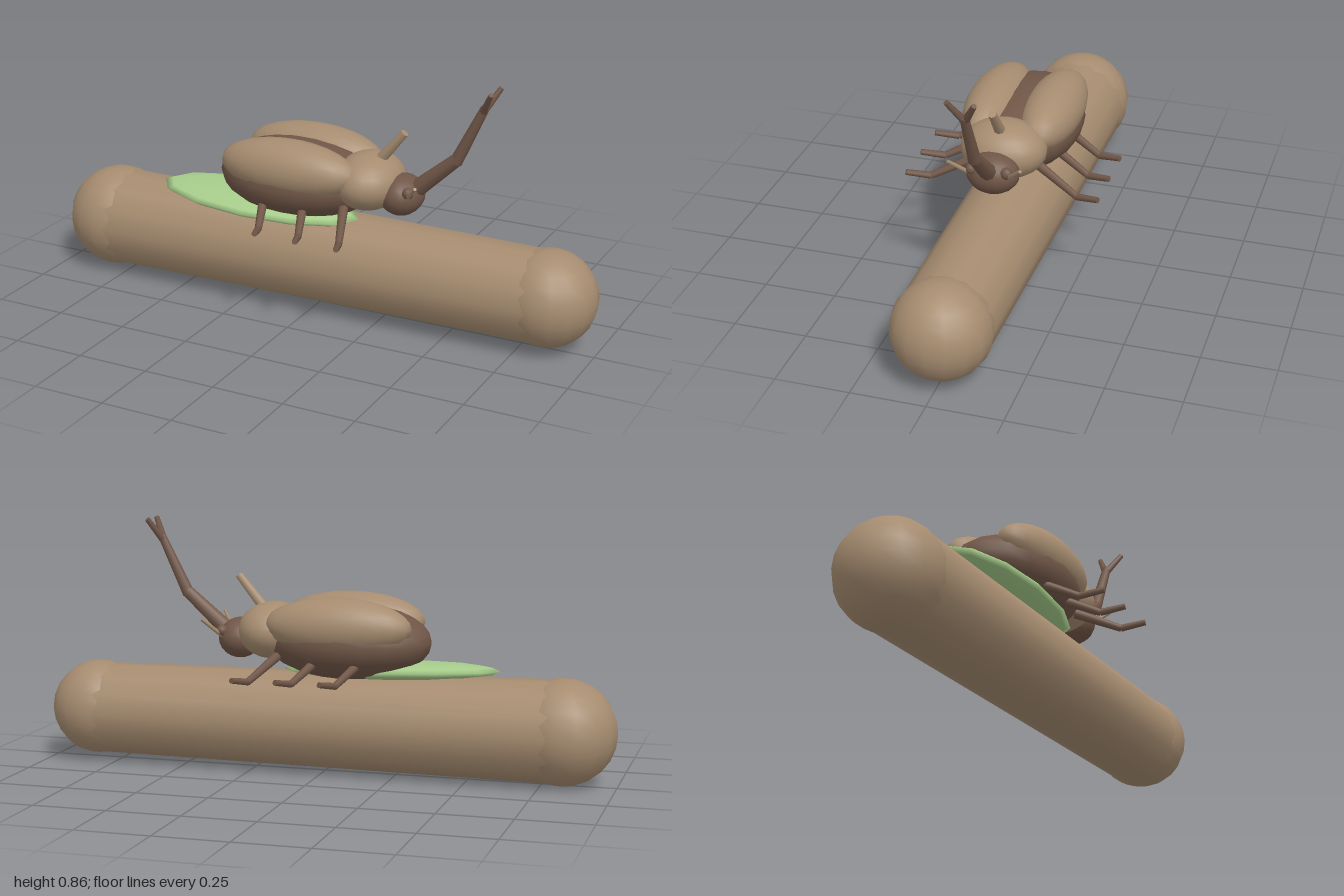
import * as THREE from 'three';

export function createModel() {
  const model = new THREE.Group();
  const mat = (name, color) => {
    const m = new THREE.MeshStandardMaterial({ color });
    m.name = name;
    return m;
  };
  const tan = mat('tan', 0xa68c70);
  const brown = mat('dark brown', 0x705647);
  const green = mat('leaf green', 0xa6cc8a);

  const add = (parent, name, geometry, material) => {
    const mesh = new THREE.Mesh(geometry, material);
    mesh.name = name;
    parent.add(mesh);
    return mesh;
  };
  // Ellipsoid from a centre and three radii
  const blob = (parent, name, material, pos, radii, w = 20, h = 14) => {
    const mesh = add(parent, name, new THREE.SphereGeometry(1, w, h), material);
    mesh.position.set(...pos);
    mesh.scale.set(...radii);
    return mesh;
  };
  // Tapered rod running from a to b
  const rod = (parent, name, material, a, b, ra, rb, sides = 8) => {
    const start = new THREE.Vector3(...a), end = new THREE.Vector3(...b);
    const dir = end.clone().sub(start);
    const mesh = add(parent, name, new THREE.CylinderGeometry(rb, ra, dir.length(), sides), material);
    mesh.position.copy(start).add(end).multiplyScalar(0.5);
    mesh.quaternion.setFromUnitVectors(new THREE.Vector3(0, 1, 0), dir.normalize());
    return mesh;
  };
  const group = (name) => {
    const g = new THREE.Group();
    g.name = name;
    model.add(g);
    return g;
  };

  // Log with rounded ends
  const log = group('log');
  rod(log, 'logTrunk', tan, [-0.82, 0.185, 0], [0.835, 0.185, 0], 0.174, 0.159, 14);
  blob(log, 'logEndRight', tan, [-0.82, 0.185, 0], [0.18, 0.18, 0.18], 16, 12);
  blob(log, 'logEndLeft', tan, [0.835, 0.187, 0], [0.165, 0.165, 0.165], 16, 12);

  // Leaf lying between log and beetle
  const leaf = blob(model, 'leaf', green, [-0.22, 0.36, 0.035], [0.38, 0.033, 0.143], 12, 8);
  leaf.rotation.set(0.06, 0, -0.03);

  // Beetle body
  const beetle = group('beetle');
  blob(beetle, 'abdomen', brown, [-0.08, 0.46, 0], [0.29, 0.13, 0.195]);
  blob(beetle, 'thorax', tan, [0.185, 0.487, 0], [0.12, 0.098, 0.147]);
  blob(beetle, 'head', brown, [0.305, 0.456, 0], [0.075, 0.07, 0.09], 16, 12);

  // Long forked head horn and short thorax horn
  rod(beetle, 'hornLower', brown, [0.33, 0.46, 0], [0.5, 0.61, 0], 0.031, 0.022);
  blob(beetle, 'hornJoint', brown, [0.5, 0.608, 0], [0.021, 0.021, 0.021], 8, 6);
  rod(beetle, 'hornUpper', brown, [0.495, 0.6, 0], [0.592, 0.8, 0], 0.022, 0.015);
  rod(beetle, 'thoraxHorn', tan, [0.21, 0.55, 0], [0.31, 0.672, 0], 0.02, 0.014);

  for (const s of [1, -1]) {
    // Wing cases, eyes, antennae and horn prongs
    blob(beetle, 'wingCase', tan, [-0.07, 0.52, s * 0.1], [0.255, 0.098, 0.1]);
    blob(beetle, 'eye', brown, [0.352, 0.485, s * 0.06], [0.02, 0.02, 0.02], 10, 8);
    rod(beetle, 'antenna', tan, [0.34, 0.455, s * 0.05], [0.405, 0.53, s * 0.122], 0.008, 0.006, 6);
    rod(beetle, 'hornProng', brown, [0.583, 0.78, 0], [0.628, 0.86, s * 0.045], 0.013, 0.009, 6);

    // Three jointed legs per side
    for (let i = 0; i < 3; i++) {
      const x = i * 0.15;
      const knee = [x - 0.105, 0.346, s * 0.255];
      rod(beetle, 'upperLeg', brown, [x - 0.16, 0.412, s * 0.11], knee, 0.017, 0.012);
      rod(beetle, 'lowerLeg', brown, knee, [x - 0.075, 0.362, s * 0.334], 0.012, 0.01);
    }
  }
  return model;
}
